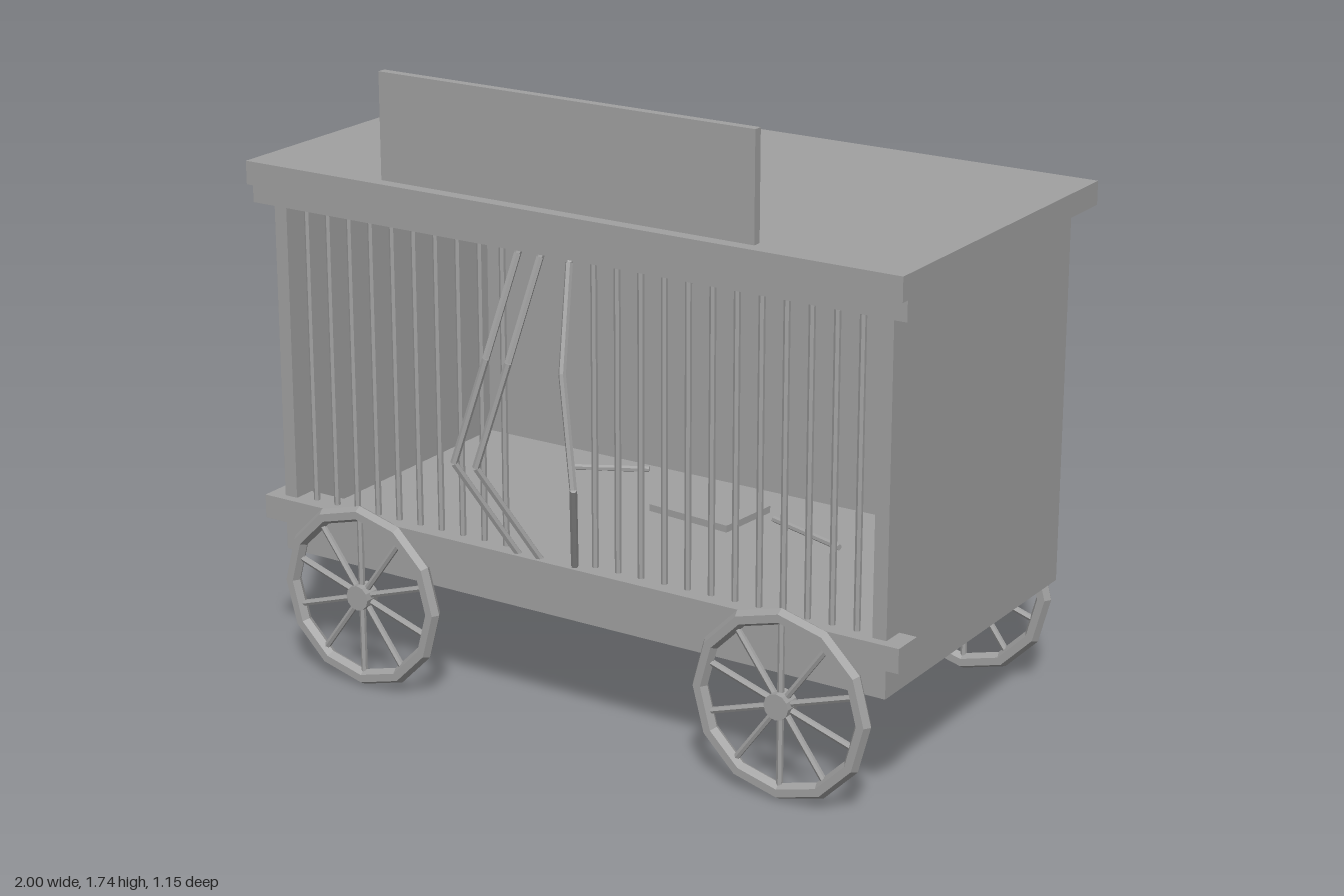
import * as THREE from 'three';

export function createModel() {
  const wagon = new THREE.Group();
  wagon.name = 'cageWagon';
  const grey = new THREE.MeshStandardMaterial({ color: 0xa0a0a0, flatShading: true });
  grey.name = 'plainGrey';

  const add = (name, geometry, parent = wagon) => {
    const mesh = new THREE.Mesh(geometry, grey);
    mesh.name = name;
    parent.add(mesh);
    return mesh;
  };

  // box given by its extents along each axis
  const box = (name, [x0, x1], [y0, y1], [z0, z1]) => {
    const mesh = add(name, new THREE.BoxGeometry(x1 - x0, y1 - y0, z1 - z0));
    mesh.position.set((x0 + x1) / 2, (y0 + y1) / 2, (z0 + z1) / 2);
    return mesh;
  };

  // thin round rod between two points
  const up = new THREE.Vector3(0, 1, 0);
  const rod = (name, a, b, radius, parent = wagon) => {
    const from = new THREE.Vector3(...a);
    const dir = new THREE.Vector3(...b).sub(from);
    const mesh = add(name, new THREE.CylinderGeometry(radius, radius, dir.length(), 6), parent);
    mesh.position.copy(from).addScaledVector(dir, 0.5);
    mesh.quaternion.setFromUnitVectors(up, dir.normalize());
    return mesh;
  };

  // body, open at the front
  box('floor', [-0.95, 0.95], [0.34, 0.43], [-0.53, 0.42]);
  box('backWall', [-0.95, 0.95], [0.43, 1.39], [-0.53, -0.49]);
  box('rightWall', [-0.95, -0.91], [0.43, 1.39], [-0.49, 0.42]);
  box('leftWall', [0.91, 0.95], [0.43, 1.39], [-0.49, 0.42]);
  box('roof', [-1, 1], [1.39, 1.455], [-0.578, 0.472]);
  box('upperBeam', [-1, 1], [1.335, 1.39], [0.355, 0.447]);
  box('lowerBeam', [-1, 1], [0.43, 0.497], [0.355, 0.447]);
  box('signBoard', [-0.573, 0.567], [1.455, 1.745], [0.41, 0.435]);

  // cage bars; three near the middle are bent outwards
  const bentX = {
    10: [-0.142, -0.15, -0.185, -0.26, -0.16, -0.142],
    11: [-0.071, -0.08, -0.115, -0.19, -0.09, -0.071],
    12: [0, 0.01, 0.053, 0.115, 0.025, 0],
  };
  const bentYZ = [[1.36, 0.405], [1.32, 0.42], [1.055, 0.518], [0.77, 0.563], [0.5, 0.428], [0.46, 0.405]];
  for (let i = 0; i < 25; i++) {
    const x = -0.855 + i * 0.07125;
    if (!bentX[i]) {
      rod('cageBar', [x, 0.46, 0.4], [x, 1.36, 0.4], 0.009);
      continue;
    }
    const points = bentYZ.map(([y, z], k) => [bentX[i][k], y, z]);
    const bar = new THREE.Group();
    bar.name = 'bentBar';
    wagon.add(bar);
    for (let k = 1; k < points.length; k++) rod('bentBarPiece', points[k - 1], points[k], 0.01, bar);
  }

  // loose things on the floor
  const slab = box('floorSlab', [-0.125, 0.145], [0.43, 0.45], [-0.36, -0.16]);
  slab.rotation.y = -0.1;
  rod('looseStick', [-0.5, 0.438, -0.34], [-0.31, 0.438, -0.44], 0.009);
  rod('looseStick', [0.2, 0.438, -0.29], [0.46, 0.438, -0.2], 0.009);

  // spoked wheels
  for (const x of [-0.667, 0.667]) {
    for (const z of [0.45, -0.549]) {
      const wheel = new THREE.Group();
      wheel.name = z > 0 ? 'frontWheel' : 'backWheel';
      wheel.position.set(x, 0.27, z);
      wagon.add(wheel);
      const rim = add('rim', new THREE.TorusGeometry(0.24, 0.022, 6, 12), wheel);
      rim.rotation.z = Math.PI / 2;
      const hub = add('hub', new THREE.CylinderGeometry(0.036, 0.036, 0.048, 12), wheel);
      hub.rotation.x = Math.PI / 2;
      for (let i = 0; i < 10; i++) {
        const a = Math.PI / 2 + (i * Math.PI) / 5;
        const c = Math.cos(a), s = Math.sin(a);
        rod('spoke', [c * 0.025, s * 0.025, 0], [c * 0.23, s * 0.23, 0], 0.009, wheel);
      }
    }
  }
  return wagon;
}
